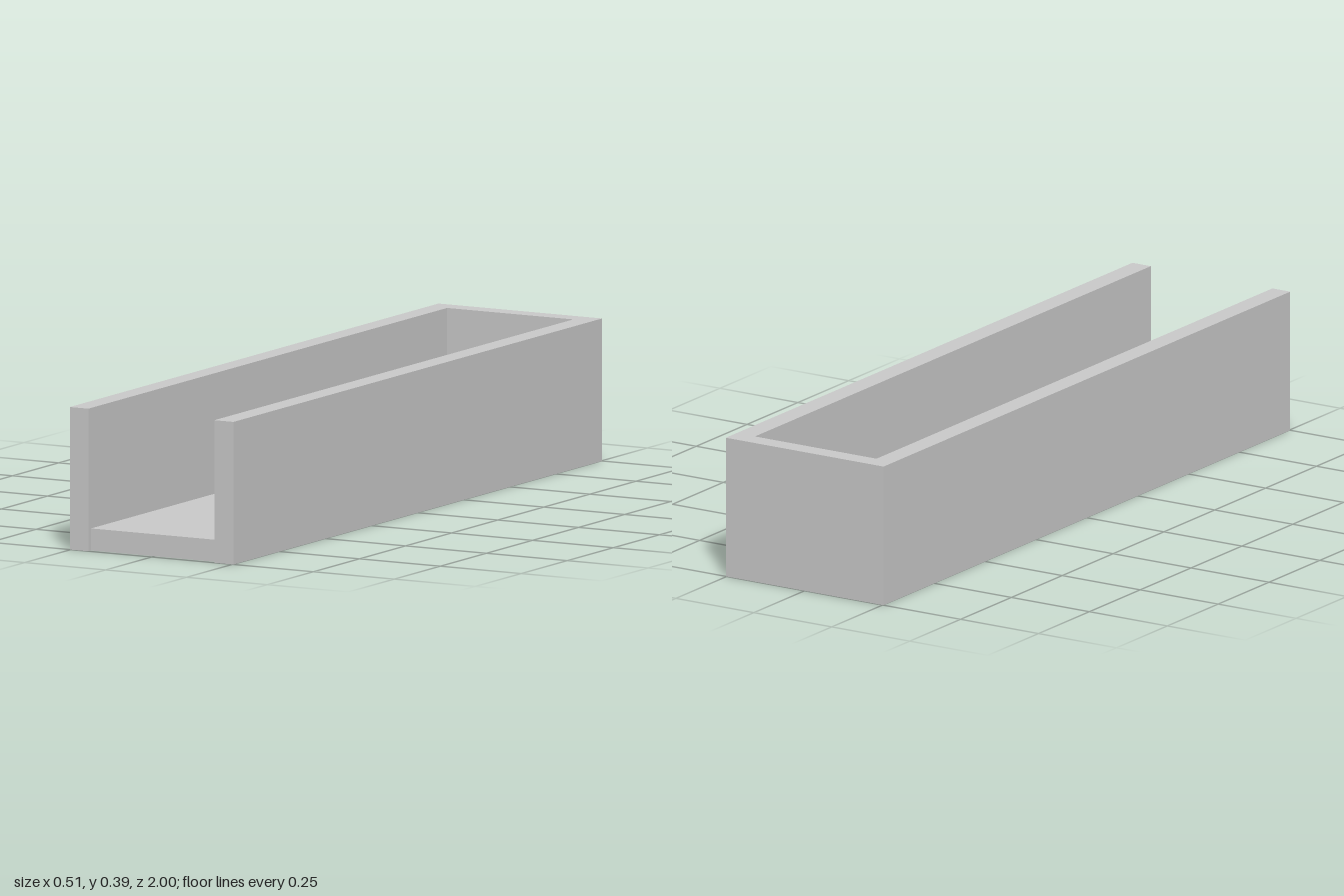
import * as THREE from 'three';

export function createModel() {
  const group = new THREE.Group();
  const material = new THREE.MeshStandardMaterial({ color: 0xcccccc, flatShading: true });

  const halfWidth = 0.253, height = 0.388;
  const innerLeft = 0.194, innerRight = -0.196, innerBack = -0.947;
  const floorHeight = 0.06, floorFront = 0.985;

  // U-shaped wall: two long sides joined by the back, open at the front
  const outline = [
    [-halfWidth, -1], [innerRight, -1], [innerRight, -innerBack], [innerLeft, -innerBack],
    [innerLeft, -1], [halfWidth, -1], [halfWidth, 1], [-halfWidth, 1],
  ];
  const shape = new THREE.Shape(outline.map(([x, y]) => new THREE.Vector2(x, y)));
  const wallGeometry = new THREE.ExtrudeGeometry(shape, { depth: height, bevelEnabled: false });
  wallGeometry.rotateX(-Math.PI / 2);
  const walls = new THREE.Mesh(wallGeometry, material);
  walls.name = 'walls';
  group.add(walls);

  // Floor slab between the walls, set back slightly from the front edge
  const depth = floorFront - innerBack;
  const floor = new THREE.Mesh(
    new THREE.BoxGeometry(innerLeft - innerRight, floorHeight, depth), material);
  floor.position.set((innerLeft + innerRight) / 2, floorHeight / 2, (floorFront + innerBack) / 2);
  floor.name = 'floor';
  group.add(floor);

  return group;
}
